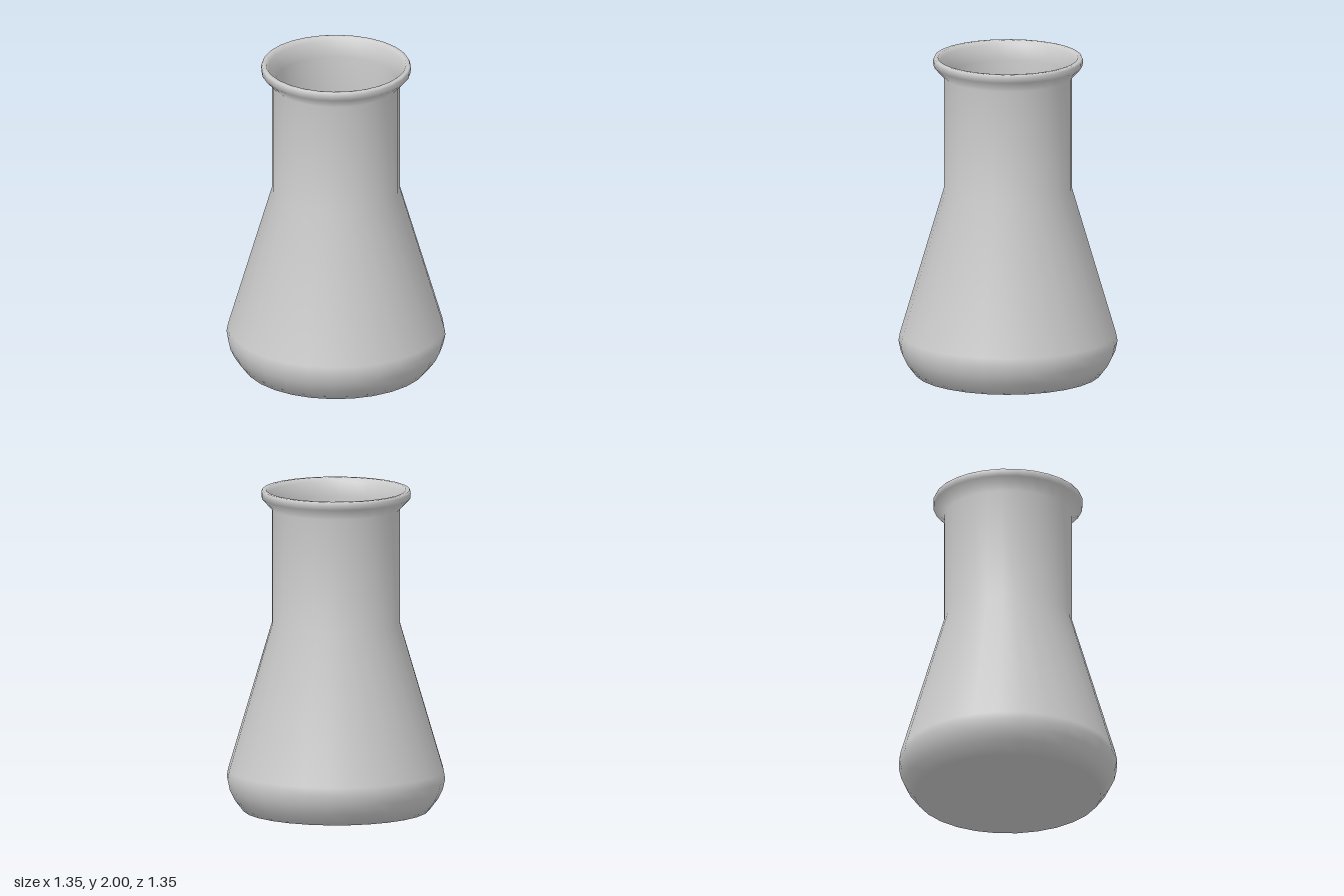
import * as THREE from 'three';

const SIDES = 28;

// Revolve a list of [radius, height] pairs around the y axis
function turned(name, profile, material) {
  const points = profile.map(([r, y]) => new THREE.Vector2(r, y));
  const mesh = new THREE.Mesh(new THREE.LatheGeometry(points, SIDES), material);
  mesh.name = name;
  return mesh;
}

export function createModel() {
  const group = new THREE.Group();
  group.name = 'flask';
  const material = new THREE.MeshStandardMaterial({ color: 0xcccccc, side: THREE.DoubleSide });

  // Outer wall: flat base, rounded heel, cone, neck and flared lip
  const outer = [
    [0.14, 0], [0.575, 0], [0.632, 0.075], [0.661, 0.135], [0.675, 0.2], [0.666, 0.25],
    [0.395, 1.17], [0.395, 1.88], [0.46, 1.95], [0.462, 1.985], [0.455, 2],
  ];
  // Lip top and mouth, then the thin inner wall down to the floor
  const inner = [
    [0.432, 2], [0.42, 1.975], [0.376, 1.885], [0.376, 1.17],
    [0.646, 0.25], [0.654, 0.2], [0.641, 0.14], [0.613, 0.085], [0.56, 0.02],
  ];
  group.add(turned('body', [...outer, ...inner], material));

  // Inside floor
  group.add(turned('floor', [[0.56, 0.02], [0, 0.02]], material));

  // Small disc closing the middle of the underside
  group.add(turned('baseDisc', [[0, 0], [0.14, 0]], material));

  return group;
}
